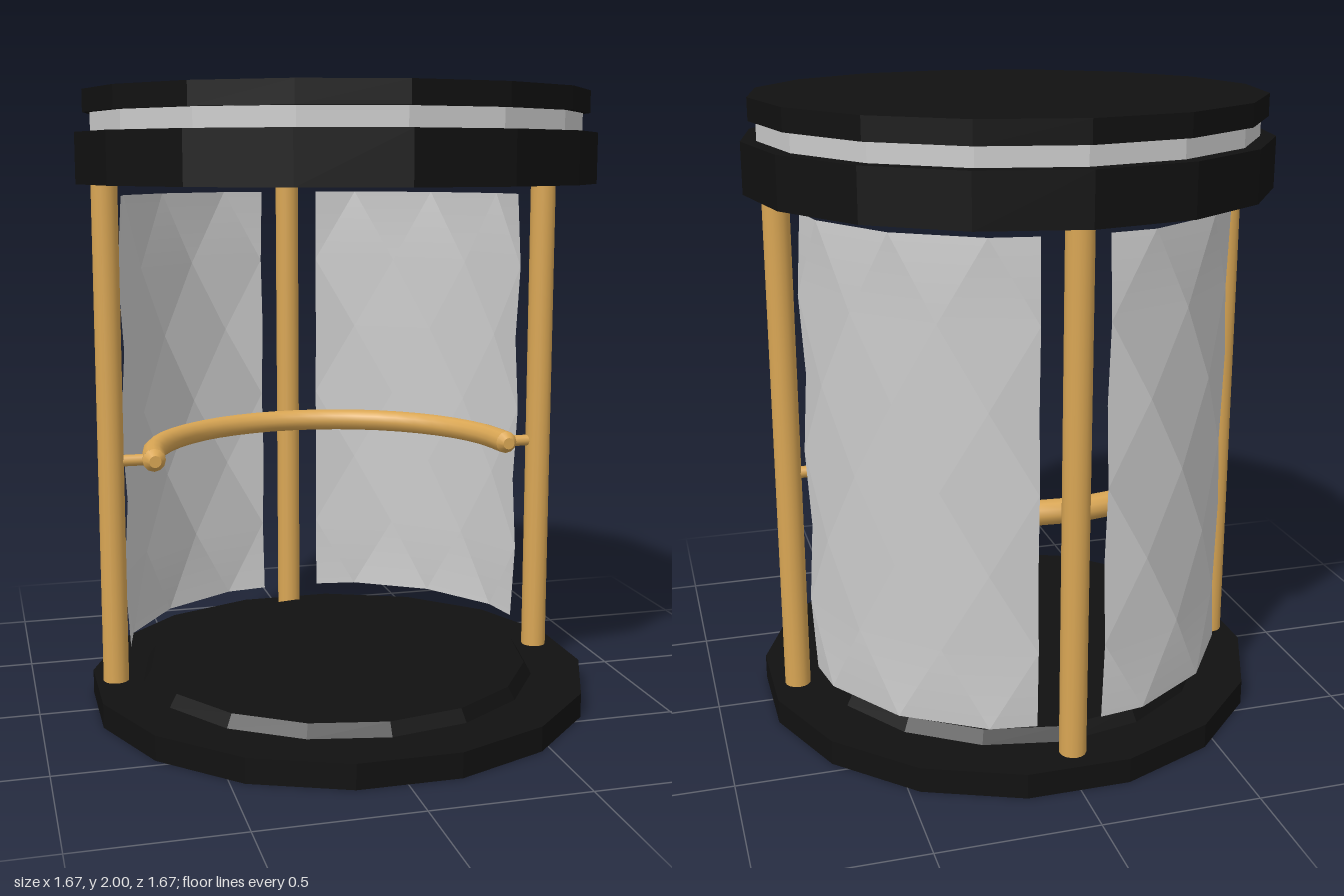
import * as THREE from 'three';
import { toCreasedNormals } from 'three/addons/utils/BufferGeometryUtils.js';

const SIDES = 16;
const black = new THREE.MeshStandardMaterial({ color: 0x111111, flatShading: true });
const grey = new THREE.MeshStandardMaterial({ color: 0xcccccc, flatShading: true });
const panelMat = new THREE.MeshStandardMaterial({ color: 0xcccccc, side: THREE.DoubleSide });
const brass = new THREE.MeshStandardMaterial({ color: 0xd9a654 });

function add(parent, name, geometry, material, x = 0, y = 0, z = 0) {
  const mesh = new THREE.Mesh(geometry, material);
  mesh.name = name;
  mesh.position.set(x, y, z);
  parent.add(mesh);
  return mesh;
}

// Disc between two heights, optionally tapered
function disc(parent, name, rTop, rBottom, y0, y1, material) {
  const geometry = new THREE.CylinderGeometry(rTop, rBottom, y1 - y0, SIDES);
  return add(parent, name, geometry, material, 0, (y0 + y1) / 2, 0);
}

// Curved panel folded into a diamond lattice: alternate rows are staggered by half a diamond
function diamondPanel(radius, start, end, y0, y1, diamonds, rows) {
  const step = (end - start) / diamonds;
  const point = (angle, r, y) => [Math.cos(angle) * r, y, -Math.sin(angle) * r];
  const makeRow = (j) => {
    const y = y0 + ((y1 - y0) * j) / rows;
    const row = [];
    if (j % 2) {
      for (let i = 0; i <= diamonds; i++) row.push(point(start + i * step, radius, y));
    } else {
      const chord = radius * Math.cos(step / 2);
      row.push(point(start, chord, y));
      for (let i = 0; i < diamonds; i++) row.push(point(start + (i + 0.5) * step, radius, y));
      row.push(point(end, chord, y));
    }
    return row;
  };
  const positions = [];
  const tri = (a, b, c) => positions.push(...a, ...b, ...c);
  for (let j = 0; j < rows; j++) {
    const low = makeRow(j), high = makeRow(j + 1);
    const odd = j % 2 ? low : high, even = j % 2 ? high : low;
    const flip = j % 2 === 1;
    const face = (a, b, c) => (flip ? tri(a, c, b) : tri(a, b, c));
    for (let i = 0; i <= diamonds; i++) {
      face(even[i], even[i + 1], odd[i]);
      if (i < diamonds) face(odd[i], even[i + 1], odd[i + 1]);
    }
  }
  const geometry = new THREE.BufferGeometry();
  geometry.setAttribute('position', new THREE.Float32BufferAttribute(positions, 3));
  // Each diamond shades as one facet
  return toCreasedNormals(geometry, 0.175);
}

export function createModel() {
  const model = new THREE.Group();
  model.name = 'elevatorCabin';

  // Floor
  const floor = disc(model, 'floorDisc', 0.831, 0.831, 0, 0.08, black);
  floor.rotation.y = Math.PI / SIDES;
  floor.position.x = floor.position.z = 0.005;
  disc(model, 'floorPlate', 0.635, 0.66, 0.08, 0.12, black);

  const cabin = new THREE.Group();
  cabin.name = 'cabin';
  cabin.position.x = -0.003;
  model.add(cabin);

  // Roof
  disc(cabin, 'roofRing', 0.834, 0.834, 1.71, 1.87, black);
  disc(cabin, 'roofLightBand', 0.785, 0.785, 1.87, 1.93, grey);
  disc(cabin, 'roofCap', 0.808, 0.808, 1.93, 2, black);

  // Posts, each with a bracket reaching inwards to the rail
  const railY = 0.825, railR = 0.607;
  const posts = { rightPost: [-0.742, -0.045], leftPost: [0.742, -0.045], backPost: [0, -0.718] };
  for (const [name, [x, z]] of Object.entries(posts)) {
    add(cabin, name, new THREE.CylinderGeometry(0.042, 0.042, 1.64, 16), brass, x, 0.9, z);
    const inner = x ? [Math.sign(x) * railR, z] : [0, -railR];
    const path = new THREE.LineCurve3(new THREE.Vector3(x, 0.82, z), new THREE.Vector3(inner[0], 0.82, inner[1]));
    add(cabin, name + 'Bracket', new THREE.TubeGeometry(path, 1, 0.019, 10), brass);
  }

  // Half-round handrail with bevelled end caps
  const arc = [];
  for (let i = 0; i <= 12; i++) {
    const a = (Math.PI * i) / 12;
    arc.push(new THREE.Vector3(Math.cos(a) * railR, railY, -Math.sin(a) * railR));
  }
  add(cabin, 'handrail', new THREE.TubeGeometry(new THREE.CatmullRomCurve3(arc), 24, 0.038, 12), brass);
  for (const side of [-1, 1]) {
    const cap = add(cabin, 'handrailCap', new THREE.CylinderGeometry(0.02, 0.038, 0.028, 12), brass, side * railR, railY, 0.014);
    cap.rotation.x = Math.PI / 2;
  }

  // Faceted wall panels between the posts
  const rad = Math.PI / 180;
  add(cabin, 'leftPanel', diamondPanel(0.708, 10 * rad, 81.5 * rad, 0.163, 1.67, 3, 6), panelMat);
  add(cabin, 'rightPanel', diamondPanel(0.708, 98.5 * rad, 170 * rad, 0.163, 1.67, 3, 6), panelMat);

  return model;
}
